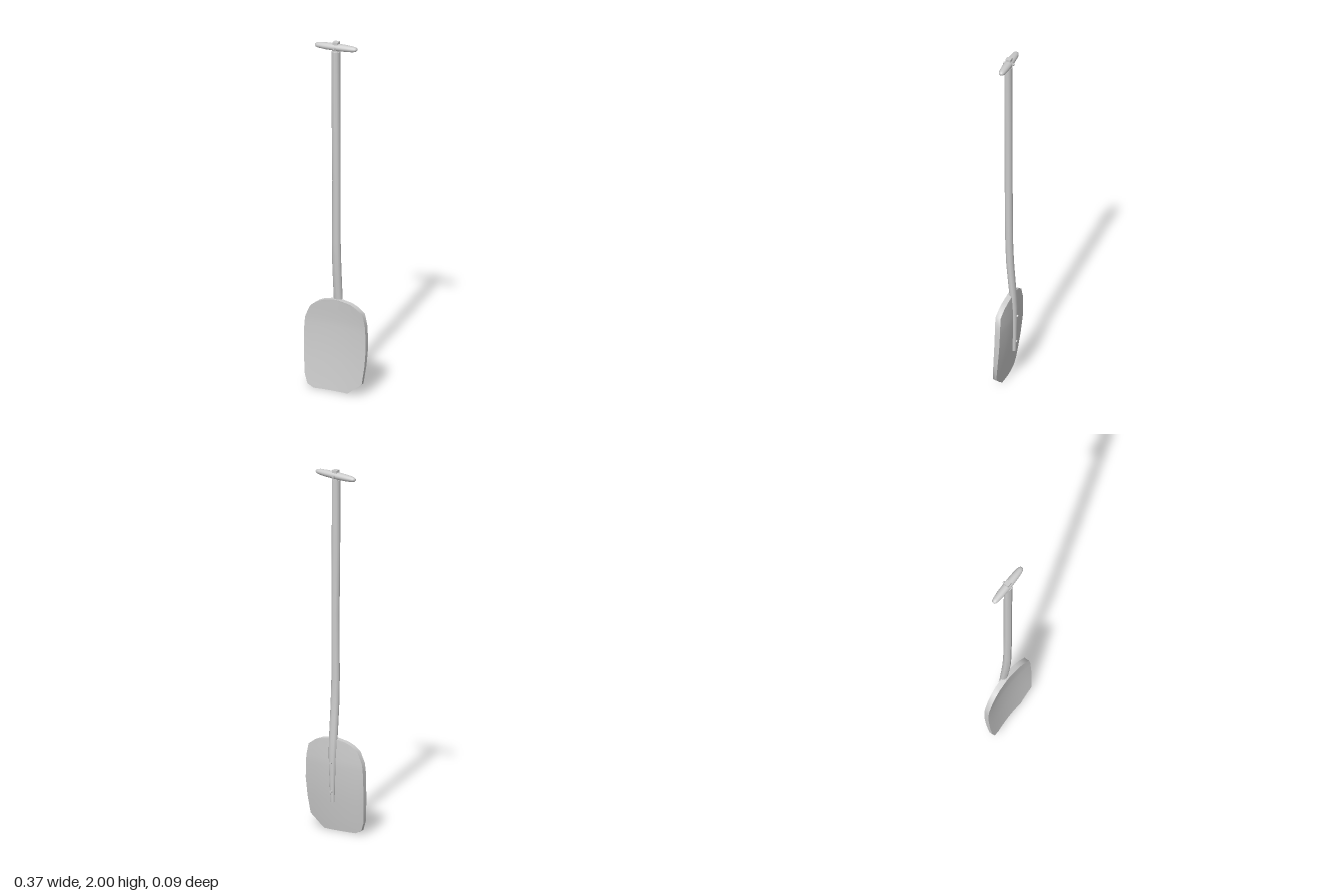
import * as THREE from 'three';

// Linear interpolation through [key, value] stations
function sample(stations, t) {
  for (let i = 1; i < stations.length; i++) {
    const [a, va] = stations[i - 1], [b, vb] = stations[i];
    if (t <= b) return va + (vb - va) * Math.max(0, (t - a) / (b - a));
  }
  return stations[stations.length - 1][1];
}

// Loft elliptical rings [x, y, z, radius across, radius deep] from bottom to top
function shaftGeometry(rings, sides) {
  const pos = [], index = [];
  const addRing = ([x, y, z, rx, rz]) => {
    for (let i = 0; i <= sides; i++) {
      const a = (i / sides) * Math.PI * 2;
      pos.push(x + rx * Math.sin(a), y, z + rz * Math.cos(a));
    }
  };
  rings.forEach(addRing);
  const n = sides + 1;
  for (let r = 0; r < rings.length - 1; r++) {
    for (let i = 0; i < sides; i++) {
      const a = r * n + i, b = a + 1, c = a + n, d = c + 1;
      index.push(a, b, c, b, d, c);
    }
  }
  // Flat end caps with their own vertices
  [[rings[0], false], [rings[rings.length - 1], true]].forEach(([ring, up]) => {
    const s = pos.length / 3;
    addRing(ring);
    for (let i = 1; i < sides - 1; i++) {
      if (up) index.push(s, s + i, s + i + 1);
      else index.push(s, s + i + 1, s + i);
    }
  });
  const g = new THREE.BufferGeometry();
  g.setAttribute('position', new THREE.Float32BufferAttribute(pos, 3));
  g.setIndex(index);
  g.computeVertexNormals();
  return g;
}

// Curved, slightly uneven blade: front face, back face and rim
function bladeGeometry() {
  // Rows: height, left edge, right edge
  const rows = [
    [0, -0.12, 0.08], [0.02, -0.155, 0.105], [0.07, -0.172, 0.168], [0.17, -0.181, 0.18],
    [0.27, -0.185, 0.185], [0.36, -0.183, 0.181], [0.4, -0.177, 0.178],
    [0.46, -0.15, 0.165], [0.49, -0.11, 0.122], [0.505, -0.075, 0.085], [0.516, -0.015, 0.015],
  ];
  const frontZ = [[0, 0.045], [0.1, 0.034], [0.2, 0.026], [0.3, 0.02], [0.4, 0.02], [0.516, 0.027]];
  const thick = [[0, 0.017], [0.15, 0.024], [0.3, 0.029], [0.516, 0.03]];
  const cols = 10, n = cols + 1;
  const pos = [], index = [];
  const point = (r, c, back) => {
    const [y, l, rgt] = rows[r];
    const x = l + (rgt - l) * c / cols;
    const bow = 0.017 * (1 - Math.min(1, (x / 0.175) ** 2));
    return [x, y, sample(frontZ, y) - bow - (back ? sample(thick, y) : 0)];
  };
  for (const back of [false, true]) {
    const s = pos.length / 3;
    for (let r = 0; r < rows.length; r++)
      for (let c = 0; c < n; c++) pos.push(...point(r, c, back));
    for (let r = 0; r < rows.length - 1; r++) {
      for (let c = 0; c < cols; c++) {
        const a = s + r * n + c, b = a + 1, d = a + n, e = d + 1;
        if (back) index.push(a, d, b, b, d, e);
        else index.push(a, b, d, b, e, d);
      }
    }
  }
  // Rim, walked counter-clockwise as seen from the front
  const loop = [];
  for (let c = 0; c < cols; c++) loop.push([0, c]);
  for (let r = 0; r < rows.length - 1; r++) loop.push([r, cols]);
  for (let c = cols; c > 0; c--) loop.push([rows.length - 1, c]);
  for (let r = rows.length - 1; r > 0; r--) loop.push([r, 0]);
  const s = pos.length / 3;
  loop.forEach(([r, c]) => pos.push(...point(r, c, false), ...point(r, c, true)));
  loop.forEach((_, i) => {
    const a = s + i * 2, b = s + ((i + 1) % loop.length) * 2;
    index.push(a, a + 1, b, b, a + 1, b + 1);
  });
  const g = new THREE.BufferGeometry();
  g.setAttribute('position', new THREE.Float32BufferAttribute(pos, 3));
  g.setIndex(index);
  g.computeVertexNormals();
  return g;
}

export function createModel() {
  const group = new THREE.Group();
  const grey = new THREE.MeshStandardMaterial({ color: 0xcccccc });
  grey.name = 'light grey';

  const add = (name, geometry, x = 0, y = 0, z = 0) => {
    const mesh = new THREE.Mesh(geometry, grey);
    mesh.name = name;
    mesh.position.set(x, y, z);
    group.add(mesh);
    return mesh;
  };

  add('blade', bladeGeometry());

  // Shaft bends back near the blade and tapers down behind it
  add('shaft', shaftGeometry([
    [0, 0.165, -0.024, 0.011, 0.010],
    [0, 0.25, -0.027, 0.015, 0.012],
    [0, 0.36, -0.027, 0.020, 0.015],
    [0, 0.44, -0.024, 0.023, 0.018],
    [0, 0.52, -0.018, 0.025, 0.019],
    [0, 0.62, -0.009, 0.025, 0.020],
    [0, 0.72, -0.001, 0.025, 0.021],
    [0, 0.85, 0.004, 0.024, 0.021],
    [0.002, 1.2, 0.006, 0.023, 0.022],
    [0, 1.6, 0.008, 0.024, 0.022],
    [0, 1.945, 0.009, 0.024, 0.022],
  ], 10));

  // Square tenon running through the grip
  add('tenon', new THREE.BoxGeometry(0.029, 0.065, 0.029), 0, 1.9675, 0.006);

  // Rounded crossbar grip, slightly tilted
  const profile = [
    [0, -0.126], [0.008, -0.124], [0.014, -0.117], [0.018, -0.103], [0.022, -0.06],
    [0.0235, 0], [0.022, 0.06], [0.018, 0.103], [0.014, 0.117], [0.008, 0.124], [0, 0.126],
  ].map(([r, t]) => new THREE.Vector2(r, t));
  const gripGeometry = new THREE.LatheGeometry(profile, 16);
  gripGeometry.rotateZ(-Math.PI / 2);
  gripGeometry.scale(1, 0.84, 1);
  const grip = add('grip', gripGeometry, 0, 1.969, 0.006);
  grip.rotation.z = 0.05;

  // Pins through the grip and the lower shaft
  const pin = (name, y, z, length) => {
    const g = new THREE.CylinderGeometry(0.007, 0.007, length, 8);
    g.rotateX(Math.PI / 2);
    add(name, g, 0, y, z);
  };
  pin('gripPin', 1.969, 0.006, 0.06);
  pin('upperRivet', 0.385, -0.037, 0.024);
  pin('lowerRivet', 0.225, -0.033, 0.02);

  return group;
}
